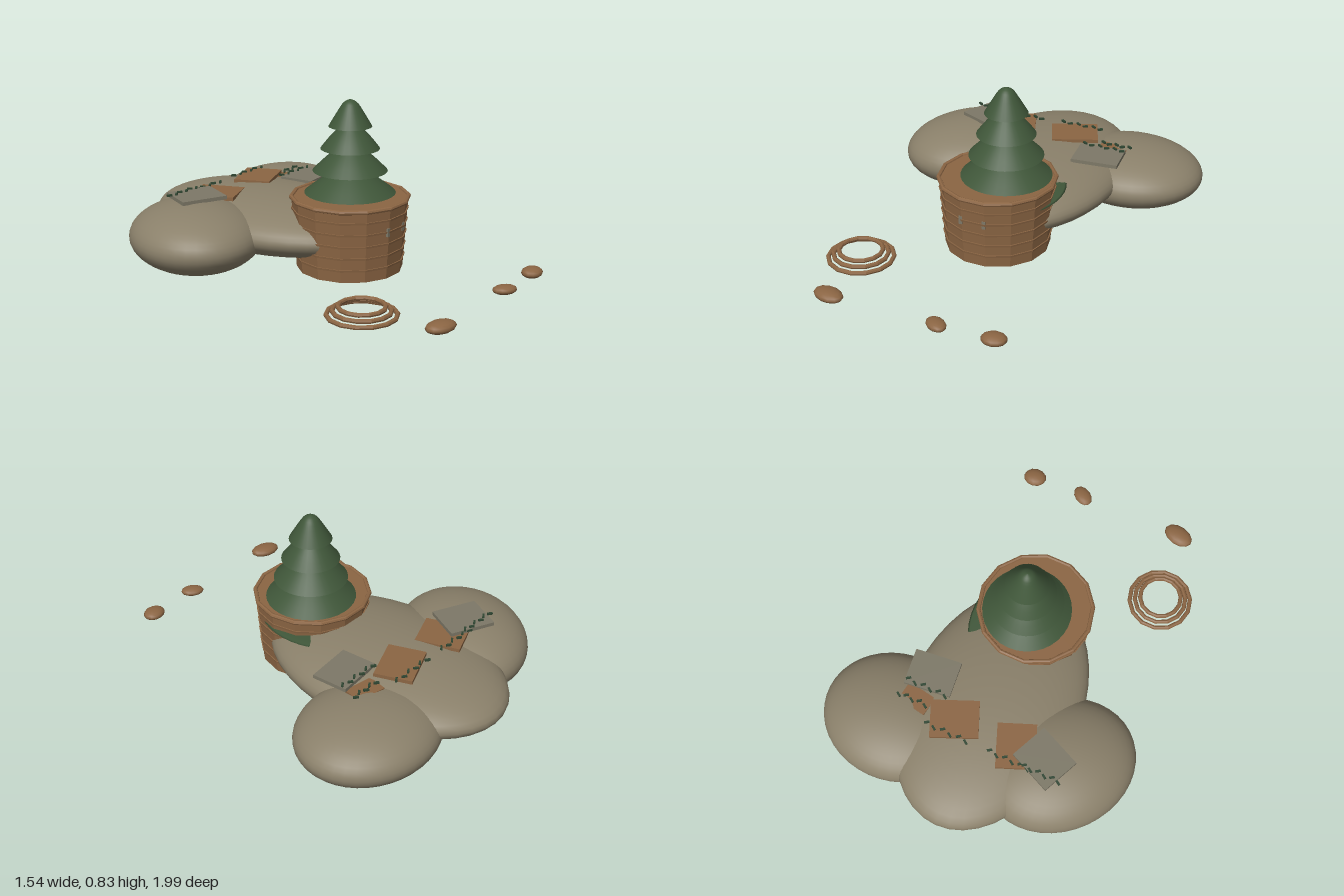
import * as THREE from 'three';

const mat = (name, color) => Object.assign(new THREE.MeshStandardMaterial({ color }), { name });

export function createModel() {
  const model = new THREE.Group();
  const stone = mat('stone', 0x8a806a);
  const wood = mat('wood', 0x8b6543);
  const needle = mat('needleGreen', 0x3f5639);
  const sprig = mat('sprigGreen', 0x2f4632);
  const slate = mat('slate', 0x7d7867);
  const flatWood = mat('facetedWood', 0x8b6543);
  flatWood.flatShading = true;

  const add = (name, geo, material, pos, turn = 0, parent = model) => {
    const m = new THREE.Mesh(geo, material);
    m.name = name;
    m.position.set(...pos);
    m.rotation.y = turn;
    parent.add(m);
    return m;
  };
  const ellipsoid = (name, pos, r, material, turn = 0, w = 40, h = 24) =>
    add(name, new THREE.SphereGeometry(1, w, h).scale(...r), material, pos, turn);

  // Rounded boulders
  ellipsoid('mainBoulder', [-0.01, 0.185, -0.35], [0.43, 0.145, 0.65], stone);
  ellipsoid('rightBoulder', [-0.425, 0.165, -0.48], [0.385, 0.165, 0.322], stone, 0.866);
  ellipsoid('leftBoulder', [0.4, 0.155, -0.59], [0.37, 0.147, 0.32], stone);

  // Tapered tub of overlapping courses, with a rim
  const tub = new THREE.Group();
  tub.name = 'tub';
  tub.position.set(-0.015, 0, 0.14);
  tub.rotation.y = Math.PI / 14;
  model.add(tub);
  const courses = 6, y0 = 0.02, step = 0.0585;
  const wall = (y) => 0.256 + (y - y0) * 0.07;
  for (let i = 0; i < courses; i++) {
    const y = y0 + i * step;
    add('tubCourse', new THREE.CylinderGeometry(wall(y + step), wall(y), step, 14),
      flatWood, [0, y + step / 2, 0], 0, tub);
    if (i > 0) add('tubHoop', new THREE.CylinderGeometry(wall(y) + 0.006, wall(y) + 0.004, 0.01, 14),
      flatWood, [0, y, 0], 0, tub);
  }
  // Rim ring; torus corners are turned to match the tub's corners
  const ring = (R, t) => new THREE.TorusGeometry(R, t, 8, 14).rotateX(Math.PI / 2).rotateY(Math.PI / 2);
  add('tubRim', ring(0.281, 0.011), flatWood, [0, 0.369, 0], 0, tub);

  // Small clasps on the front of the tub
  for (const x of [-0.08, 0.04])
    add('clasp', new THREE.BoxGeometry(0.018, 0.04, 0.014), slate, [x, 0.253, 0.402]);

  // Tree: four bell-shaped tiers turned as lathes
  const tree = new THREE.Group();
  tree.name = 'tree';
  tree.position.set(0.02, 0, 0.115);
  model.add(tree);
  const tiers = [[0.378, 0.22, 0.49, 0.065], [0.485, 0.18, 0.6, 0.055], [0.593, 0.142, 0.705, 0.045]];
  tiers.forEach(([yb, rb, yt, rt]) => {
    const rm = (rb + rt) / 2 + 0.004, ym = (yb + yt) / 2;
    const side = new THREE.SplineCurve([[rb, yb], [rm, ym], [rt, yt]].map(p => new THREE.Vector2(...p)));
    add('treeTier', new THREE.LatheGeometry(side.getPoints(6), 32), needle, [0, 0, 0], 0, tree);
  });
  const tip = new THREE.SplineCurve([[0.104, 0.701], [0.072, 0.755], [0.038, 0.809], [0.015, 0.826], [0, 0.831]]
    .map(p => new THREE.Vector2(...p)));
  add('treeTip', new THREE.LatheGeometry(tip.getPoints(12), 32), needle, [0, 0, 0], 0, tree);
  [...tiers, [0.701, 0.104]].forEach(([y, r]) =>
    add('tierUnderside', new THREE.CircleGeometry(r, 32).rotateX(Math.PI / 2), needle, [0, y, 0], 0, tree));

  // Flat bush pad growing beside the tub
  ellipsoid('bushPad', [0.1, 0.283, 0.06], [0.18, 0.012, 0.26], needle, 0, 32, 10);

  // Stepped rings lying on the ground
  [[0.157, 0.032], [0.131, 0.05], [0.105, 0.068]].forEach(([R, y]) =>
    add('groundRing', ring(R, 0.011), flatWood, [-0.53, y, 0.57], Math.PI / 14));

  // Pebbles in front
  ellipsoid('pebble', [-0.48, 0.048, 0.94], [0.08, 0.027, 0.053], wood, -0.25, 12, 8);
  ellipsoid('pebble', [0.07, 0.047, 0.942], [0.06, 0.022, 0.042], wood, -0.6, 12, 8);
  ellipsoid('pebble', [0.347, 0.048, 0.935], [0.06, 0.026, 0.05], wood, 0.15, 12, 8);

  // Thin slabs resting on the boulders: x, y, z, width, depth, turn
  const slab = (name, material, x, y, z, w, d, turn) =>
    add(name, new THREE.BoxGeometry(w, 0.018, d), material, [x, y, z], turn);
  slab('slateSlab', slate, -0.365, 0.336, -0.525, 0.23, 0.197, -0.42);
  slab('woodSlab', wood, -0.215, 0.317, -0.52, 0.19, 0.22, 0.38);
  slab('woodSlab', wood, 0.107, 0.328, -0.525, 0.235, 0.185, 0.4);
  slab('slateSlab', slate, 0.305, 0.316, -0.357, 0.235, 0.18, 0.11);
  slab('woodSlab', wood, 0.325, 0.288, -0.5, 0.15, 0.1, -0.15);

  // Rows of little sprigs along the slabs: start x, end x, y, z, count
  const rows = [
    [-0.47, -0.29, 0.348, -0.6, 6], [-0.31, -0.11, 0.336, -0.6, 6],
    [0.01, 0.22, 0.34, -0.602, 6], [0.27, 0.41, 0.312, -0.515, 5], [0.2, 0.4, 0.328, -0.437, 6],
  ];
  for (const [xa, xb, y, z, n] of rows)
    for (let i = 0; i < n; i++)
      add('sprig', new THREE.BoxGeometry(0.026, 0.01, 0.01), sprig,
        [xa + (xb - xa) * i / (n - 1), y, z + (i % 2 ? 0.006 : -0.006)], i % 2 ? 0.6 : -0.6);

  return model;
}
